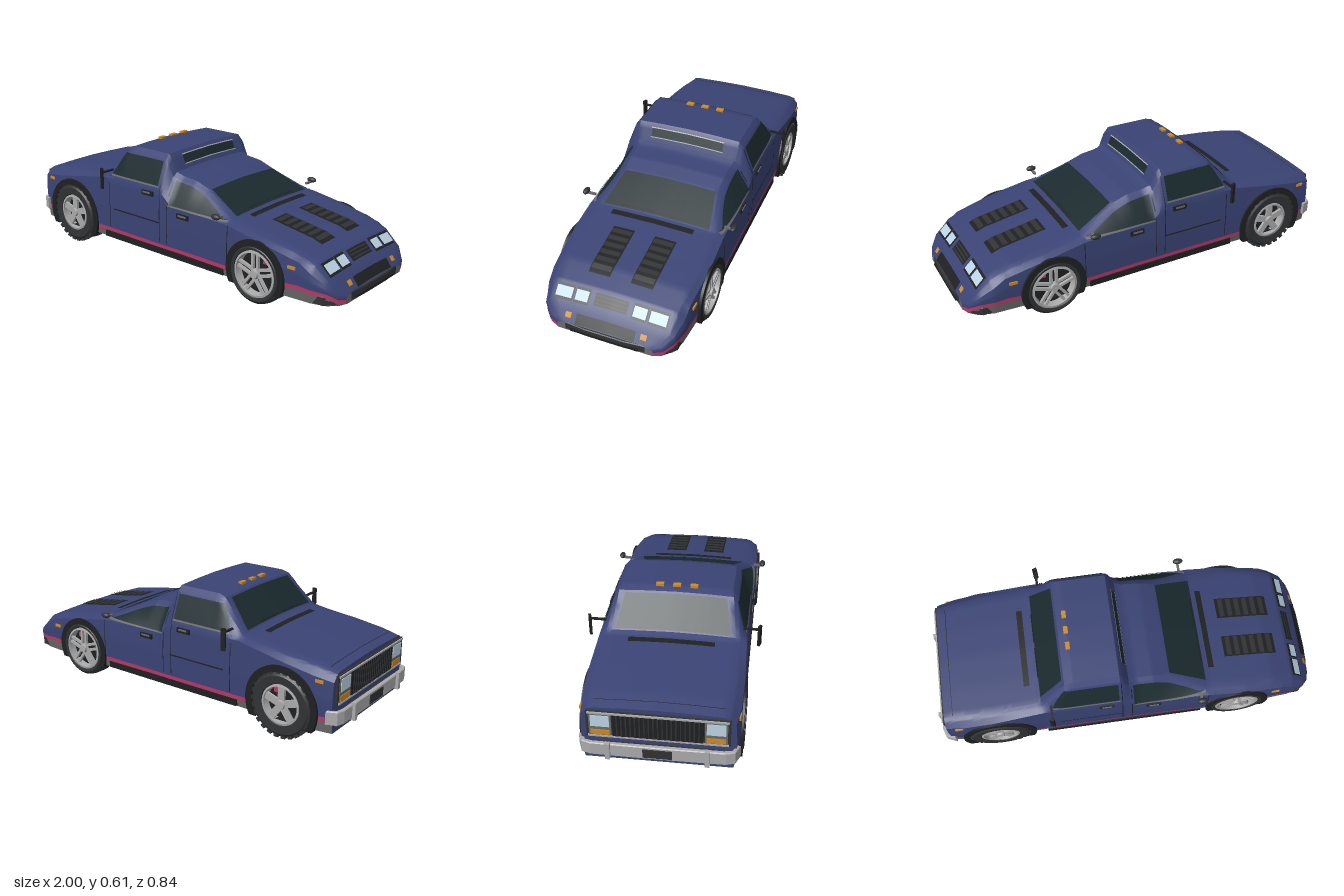
import * as THREE from 'three';
import { toCreasedNormals } from 'three/addons/utils/BufferGeometryUtils.js';

const mat = (color) => new THREE.MeshStandardMaterial({ color, side: THREE.DoubleSide });
const paint = mat(0x3a4374), glass = mat(0x1b2a2e), black = mat(0x1e2022), dark = mat(0x303234),
  grey = mat(0x6a6a6a), silver = mat(0xaaaaaa), pink = mat(0xc03868), amber = mat(0xd08a20), lamp = mat(0xbcd4e4);

// Body curves along x: top edge height and half width, side half width, belt line, stripe line
const topLine = [[-.945, .365], [-.85, .385], [-.48, .425], [-.45, .435], [-.32, .58], [-.28, .592], [-.05, .592], [-.035, .573],
  [-.005, .505], [.03, .49], [.12, .48], [.2, .452], [.4, .36], [.6, .326], [.75, .302], [.86, .262], [.93, .195], [.985, .125]];
const topWidth = [[-.945, .305], [-.7, .32], [-.45, .31], [-.28, .285], [-.03, .285], [.03, .268], [.2, .264], [.4, .305],
  [.6, .32], [.86, .305], [.93, .295], [.97, .25], [.985, .22]];
const sideWidth = [[-.945, .345], [-.85, .36], [-.7, .365], [-.45, .358], [.1, .356], [.6, .365], [.86, .347], [.93, .325], [.97, .285], [.985, .24]];
const beltLine = [[-.945, .33], [-.45, .415], [-.05, .42], [.03, .355], [.2, .353], [.4, .345], [.6, .31], [.8, .265], [.93, .18], [.985, .12]];
const stripeLine = [[-.945, .165], [-.7, .145], [0, .14], [.6, .145], [.8, .157], [.93, .145], [.985, .105]];
const SILL = .085;

const wheels = [
  { name: 'rearWheel', x: -.692, r: .165, arch: .19, rim: .097, spoke: .034, pair: [0], blocks: 26 },
  { name: 'frontWheel', x: .565, r: .15, arch: .166, rim: .112, spoke: .013, pair: [-.014, .014], blocks: 0 },
];

// Value at x of a line through the points
function along(pts, x) {
  let i = 0;
  while (i < pts.length - 2 && x > pts[i + 1][0]) i++;
  const [a, b] = [pts[i], pts[i + 1]];
  return a[1] + (b[1] - a[1]) * (x - a[0]) / (b[0] - a[0]);
}
// Half section [y, z] from the sill up to the centre of the top
function section(x) {
  const [ty, tw, w, by, ys] = [topLine, topWidth, sideWidth, beltLine, stripeLine].map((c) => along(c, x));
  const bw = w - .006;
  return [[SILL, w - .012], [ys - .02, w - .004], [ys, w - .002], [Math.min(.25, (ys + by) / 2), w], [by, bw],
    [ty + (by - ty) * .15, tw + (bw - tw) * .15], [ty + .002, tw * .95], [ty + .008, tw * .5], [ty + .011, 0]];
}
// Half width at (x, y) and top height at (x, z)
const sideZ = (x, y) => along(section(x), y);
const topY = (x, z) => along(section(x).slice(5).reverse().map(([y, w]) => [w, y]), Math.abs(z));

// Quad grid from f(i, j) -> [x, y, z]; skip(centre) leaves an opening
function grid(nu, nv, f, skip = () => false) {
  const pos = [], idx = [];
  for (let i = 0; i <= nu; i++) for (let j = 0; j <= nv; j++) pos.push(...f(i, j));
  for (let i = 0; i < nu; i++) for (let j = 0; j < nv; j++) {
    const a = i * (nv + 1) + j, b = a + nv + 1;
    if (skip(...[0, 1, 2].map((c) => (pos[a * 3 + c] + pos[b * 3 + 3 + c]) / 2))) continue;
    idx.push(a, b, b + 1, a, b + 1, a + 1);
  }
  const g = new THREE.BufferGeometry();
  g.setAttribute('position', new THREE.Float32BufferAttribute(pos, 3));
  g.setIndex(idx);
  return toCreasedNormals(g, .5);
}
function add(parent, name, geo, m, x = 0, y = 0, z = 0) {
  const mesh = new THREE.Mesh(geo, m);
  mesh.name = name;
  mesh.position.set(x, y, z);
  parent.add(mesh);
  return mesh;
}
const box = (p, name, m, x, y, z, sx, sy, sz) => add(p, name, new THREE.BoxGeometry(sx, sy, sz), m, x, y, z);
// Panel on the body side, up to the height hi(x)
function sidePanel(p, name, m, x0, x1, lo, hi, off = .004) {
  add(p, name, grid(20, 6, (i, j) => {
    const x = x0 + (x1 - x0) * i / 20, y = lo + (hi(x) - lo) * j / 6;
    return [x, y, sideZ(x, y) + off];
  }), m);
}
// Panel on the body top, z0..z1 wide at x0 and e0..e1 wide at x1
function topPanel(p, name, m, x0, x1, z0, z1, off = .004, e0 = z0, e1 = z1) {
  add(p, name, grid(6, 12, (i, j) => {
    const u = i / 6, x = x0 + (x1 - x0) * u, lo = z0 + (e0 - z0) * u, hi = z1 + (e1 - z1) * u;
    const z = hi + (lo - hi) * j / 12, slope = (topY(x + .001, z) - topY(x - .001, z)) / .002, k = off / Math.hypot(1, slope);
    return [x - slope * k, topY(x, z) + k, z];
  }), m);
}
// Bumper: plan outline [x, z] of one half, mirrored and given a height
function bumper(p, name, m, half, y, depth) {
  const all = [...half, ...half.slice().reverse().map(([x, z]) => [x, -z])].map(([x, z]) => new THREE.Vector2(x, -z));
  const g = new THREE.ExtrudeGeometry(new THREE.Shape(all), { depth, bevelSize: .004, bevelThickness: .004, bevelSegments: 1 });
  add(p, name, g.rotateX(-Math.PI / 2), m, 0, y, 0);
}

function buildBody(root) {
  const keys = [...topLine, ...topWidth, ...sideWidth, ...beltLine].map((k) => k[0]);
  const steps = Array.from({ length: 96 }, (_, i) => -.93 + i * .02);
  const xs = [...new Set([...keys, ...steps])].sort((a, b) => a - b), nu = xs.length - 1, sub = 5;
  const rings = xs.map((x) => {
    const p = section(x), half = [];
    for (let i = 0; i < (p.length - 1) * sub; i++) {
      const a = p[Math.floor(i / sub)], b = p[Math.floor(i / sub) + 1], t = (i % sub) / sub;
      half.push([a[0] + (b[0] - a[0]) * t, a[1] + (b[1] - a[1]) * t]);
    }
    return [...half, p[p.length - 1], ...half.reverse().map(([y, z]) => [y, -z])];
  });
  const last = rings[0].length - 1;
  const inArch = (x, y, z) => Math.abs(z) > .25 && wheels.some((w) => Math.hypot(x - w.x, y - w.r) < w.arch - .016);
  const band = (name, m, a, b) => add(root, name, grid(nu, b - a, (i, j) => [xs[i], ...rings[i][a + j]], inArch), m);
  band('bodyShell', paint, 2 * sub, last - 2 * sub);
  [['sill', grey, 0], ['stripe', pink, sub]].forEach(([name, m, k]) => {
    band(name + 'Left', m, k, k + sub);
    band(name + 'Right', m, last - k - sub, last - k);
  });
  add(root, 'underside', grid(nu, 1, (i, j) => [xs[i], SILL, (j ? 1 : -1) * rings[i][0][1]]), black);
  for (const [x, s, m] of [[xs[0], 1, paint], [xs[nu], -1, grey]]) {
    const p = section(x);
    add(root, 'endWall', grid(1, p.length - 1, (i, j) => [x, p[j][0], (2 * i - 1) * s * p[j][1]]), m);
  }
}

function buildWheel(side, w) {
  // Arch ring and its inner wall, cut flat under the body
  const angle = (r) => Math.asin((.075 - w.r) / r), a = angle(w.arch), inner = w.arch - .032, b = angle(inner);
  const arc = () => new THREE.Shape().absarc(0, 0, w.arch, a, Math.PI - a);
  const ring = arc().absarc(0, 0, inner, Math.PI - b, b, true);
  for (const [name, shape, depth] of [['archLining', ring, .15], ['archWall', arc(), .01]])
    add(side, name, new THREE.ExtrudeGeometry(shape, { depth, bevelEnabled: false, curveSegments: 40 }), black, w.x, w.r, .218);

  const g = new THREE.Group(), R = w.r - (w.blocks ? .004 : 0), q = w.rim;
  g.name = w.name;
  g.position.set(w.x, w.r, .308);
  side.add(g);
  const lathe = (pts) => toCreasedNormals(new THREE.LatheGeometry(pts.map((p) => new THREE.Vector2(...p)), 48).rotateX(Math.PI / 2), .6);
  add(g, 'tyre', lathe([[q, -.062], [R - .02, -.062], [R - .004, -.05], [R, -.03], [R, .03], [R - .004, .05],
    [R - .02, .063], [q + .006, .06], [q, .045], [q, -.062]]), dark);
  for (let i = 0; i < w.blocks; i++) for (const z of [-.045, .045]) {
    const t = i / w.blocks * Math.PI * 2;
    box(g, 'treadBlock', dark, Math.cos(t) * (R - .004), Math.sin(t) * (R - .004), z, .015, .022, .024).rotation.z = t;
  }
  add(g, 'rimRing', lathe([[q, .02], [q + .002, .058], [q - .008, .06], [q - .012, .02]]), silver);
  add(g, 'rimDish', lathe([[0, .015], [q, .015]]), black);
  box(g, 'brakeCaliper', pink, q * .4, q * .55, .021, .03, .022, .01);
  for (let i = 0; i < 5; i++) {
    const arm = new THREE.Group();
    arm.name = 'spokeArm';
    arm.rotation.z = Math.PI / 2 + i * Math.PI * .4;
    g.add(arm);
    for (const o of w.pair) box(arm, 'spoke', silver, q * .5, o, .045, q * .92, w.spoke, .014);
  }
  add(g, 'hub', new THREE.CylinderGeometry(.02, .026, .02, 16).rotateX(Math.PI / 2), silver, 0, 0, .052);
}

function buildSide(side) {
  wheels.forEach((w) => buildWheel(side, w));
  // Side windows with trim, moulding and door seams
  sidePanel(side, 'cabWindow', glass, -.392, -.06, .442, (x) => Math.min(.56, .445 + (x + .395) * 1.75));
  sidePanel(side, 'cabWindowTrim', grey, -.395, -.055, .434, () => .442, .006);
  sidePanel(side, 'coupeWindow', glass, .015, .375, .36, (x) => Math.max(.362, Math.min(.475, topY(x, .24) - .024)));
  sidePanel(side, 'coupeWindowTrim', grey, .01, .385, .353, () => .36, .006);
  sidePanel(side, 'sideMoulding', black, -.37, -.04, .253, () => .26, .006);
  for (const [x, y] of [[-.405, .43], [-.045, .56], [.005, .46], [.4, .345]])
    sidePanel(side, 'doorSeam', black, x - .002, x + .002, .15, () => y, .002);
  for (const [x, y] of [[-.125, .395], [.115, .32]]) {
    box(side, 'doorHandle', black, x, y, sideZ(x, y) + .003, .075, .024, .012);
    box(side, 'handleLever', grey, x, y + .004, sideZ(x, y) + .01, .05, .008, .006);
  }
  for (const [x, y] of [[-.88, .325], [.765, .235]]) box(side, 'sideMarker', amber, x, y, sideZ(x, y) + .002, .04, .014, .008);
  box(side, 'sillGuard', black, -.035, .105, .352, .82, .032, .016);
  // Mirrors
  box(side, 'cabMirror', black, -.403, .428, .408, .022, .108, .012).rotation.y = -.4;
  box(side, 'cabMirrorArm', black, -.4, .46, .37, .012, .008, .08);
  box(side, 'coupeMirrorArm', grey, .355, .378, .368, .012, .01, .05);
  add(side, 'coupeMirror', new THREE.SphereGeometry(.014, 14, 10).scale(1.9, 1, 1.1), dark, .358, .388, .392);
  // Bonnet louvres and sloped nose lamps
  topPanel(side, 'bonnetVent', black, .515, .795, .052, .163);
  for (let i = 0; i < 6; i++) topPanel(side, 'louvre', dark, .53 + i * .044, .555 + i * .044, .058, .157, .009);
  for (const [a, b] of [[.107, .183], [.188, .283]]) {
    topPanel(side, 'headlampFrame', black, .868, .922, a, b);
    topPanel(side, 'headlamp', lamp, .877, .913, a + .006, b - .006, .008);
  }
  topPanel(side, 'noseIndicator', amber, .952, .968, .173, .203, .008);
  // Upright lamps and bumper guard at the cab end
  box(side, 'cabHeadlampFrame', grey, -.95, .285, .255, .014, .125, .1);
  box(side, 'cabHeadlamp', lamp, -.957, .305, .255, .006, .06, .084);
  box(side, 'cabIndicator', amber, -.957, .244, .255, .006, .026, .084);
  box(side, 'bumperGuard', silver, -.989, .167, .22, .022, .085, .022);
}

export function createModel() {
  const root = new THREE.Group(), left = new THREE.Group();
  root.name = 'doubleEndedCar';
  left.name = 'leftSide';
  buildBody(root);
  buildSide(left);
  const right = left.clone();
  right.name = 'rightSide';
  right.scale.z = -1;
  root.add(left, right);

  // Windscreens, cowl strips, wipers and the cab's back window
  topPanel(root, 'cabWindscreen', glass, -.445, -.328, -.275, .275, .004, -.245, .245);
  topPanel(root, 'coupeWindscreen', glass, .205, .392, -.242, .242, .004, -.28, .28);
  topPanel(root, 'cabCowl', black, -.525, -.495, -.205, .205, .006);
  topPanel(root, 'coupeCowl', black, .418, .447, -.215, .215, .006);
  for (const z of [-.09, .1]) for (const x of [-.444, .378]) topPanel(root, 'wiper', black, x, x + .007, z - .08, z + .08, .01);
  topPanel(root, 'cabBackWindow', glass, -.034, -.016, -.195, .195);
  for (const x of [-.036, -.016]) topPanel(root, 'backWindowTrim', silver, x, x + .002, -.198, .198, .007);
  for (const z of [-.083, 0, .083]) box(root, 'roofMarker', amber, -.28, .604, z, .022, .014, .038);
  topPanel(root, 'cabBonnetSeam', black, -.9, -.897, -.29, .29, .002);

  // Nose grilles and front bumper
  topPanel(root, 'noseGrille', black, .872, .915, -.082, .082);
  for (let i = 0; i < 3; i++) topPanel(root, 'noseSlat', dark, .878 + i * .013, .884 + i * .013, -.075, .075, .008);
  topPanel(root, 'lowerGrille', black, .951, .982, -.148, .148, .006);
  bumper(root, 'frontBumper', dark, [[.85, .33], [.915, .327], [.955, .29], [.98, .21], [.99, .1]], .092, .036);
  bumper(root, 'frontValance', black, [[.84, .25], [.93, .25], [.965, .2]], .076, .016);
  box(root, 'bumperInsert', black, .992, .102, 0, .008, .01, .34);

  // Upright grille and chrome bumper at the cab end
  box(root, 'cabGrilleFrame', dark, -.948, .285, 0, .012, .14, .635);
  box(root, 'cabGrille', black, -.953, .285, 0, .012, .12, .4);
  for (let i = -9; i <= 9; i++) box(root, 'grilleBar', dark, -.959, .285, i * .02, .006, .114, .006);
  for (const y of [.222, .348]) box(root, 'grilleTrim', silver, -.956, y, 0, .01, .008, .62);
  bumper(root, 'chromeBumper', silver, [[-.982, .1], [-.98, .3], [-.968, .338], [-.925, .357], [-.925, .347],
    [-.96, .328], [-.968, .29], [-.968, .1]], .135, .06);
  box(root, 'bumperMount', dark, -.957, .165, 0, .03, .04, .5);
  box(root, 'numberPlatePanel', dark, -.987, .165, 0, .006, .045, .13);
  return root;
}
